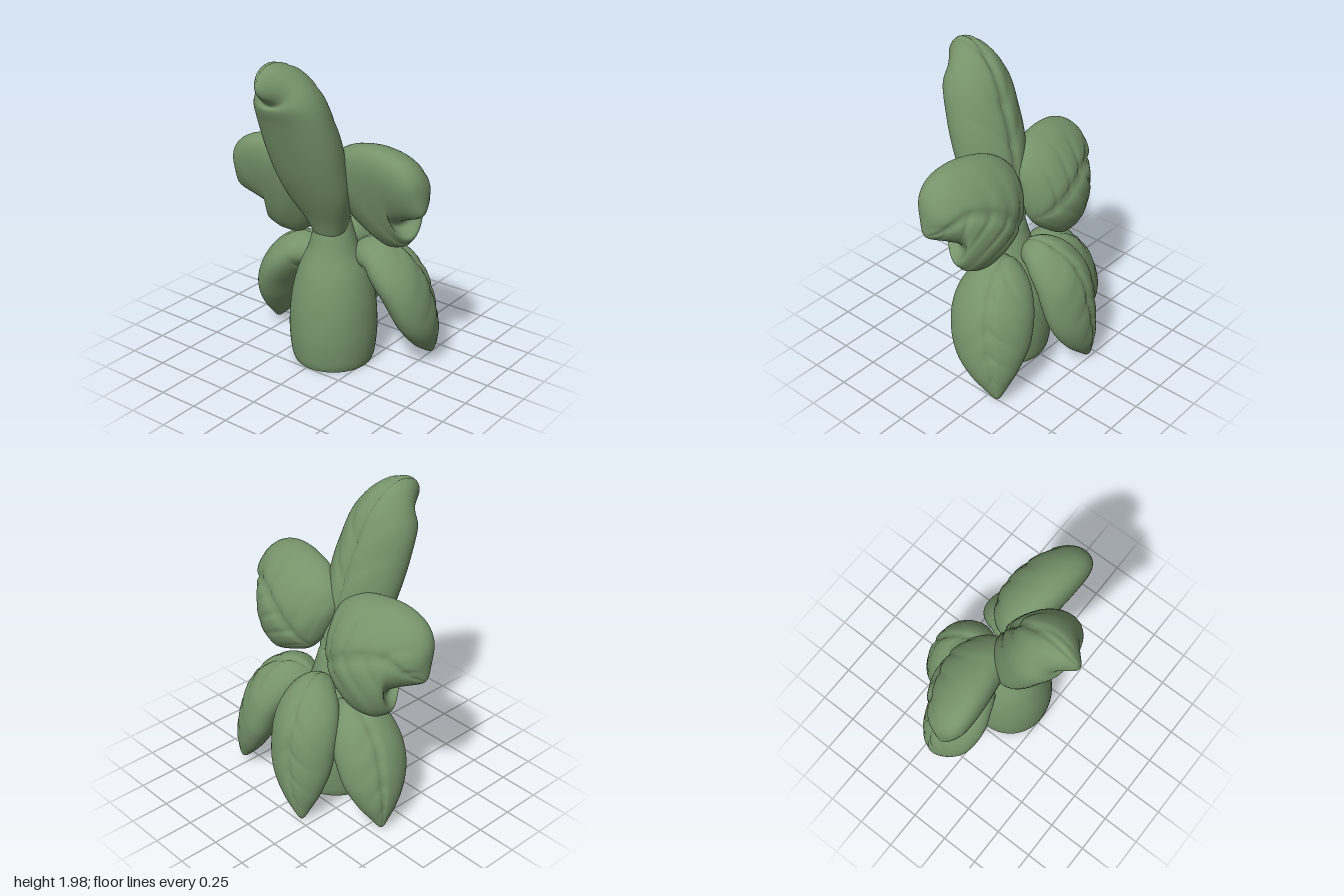
import * as THREE from 'three';

const material = new THREE.MeshStandardMaterial({ color: 0x76936a, roughness: 0.8 });
const gauss = (x, s) => Math.exp(-((x / s) ** 2));
const profile = values => {
  const curve = new THREE.SplineCurve(values.map((v, i) => new THREE.Vector2(i, v)));
  return u => curve.getPoint(u).y;
};

// Plump leaf swept along a spine; "facing" is the direction its veined side looks.
// "widths" and "girths" give the relative width and thickness from base to tip.
function leaf(name, { spine, facing, width, thickness, widths, girths }) {
  const ROWS = 64, COLS = 72, CUP = 0.14;
  const curve = new THREE.CatmullRomCurve3(spine.map(p => new THREE.Vector3(...p)));
  const widthAt = profile(widths), girthAt = profile(girths);
  const hint = new THREE.Vector3(...facing).normalize();
  const positions = [], index = [];
  for (let i = 0; i <= ROWS; i++) {
    // rows gather towards both rounded ends
    const u = (1 - Math.cos(Math.PI * i / ROWS)) / 2;
    const c = curve.getPointAt(u), t = curve.getTangentAt(u);
    const side = hint.clone().cross(t).normalize();
    const up = t.clone().cross(side);
    const round = Math.sqrt(Math.max(0, (1 - u ** 10) * (1 - (1 - u) ** 14)));
    const W = width * widthAt(u) * round;
    const T = thickness * girthAt(u) * round;
    for (let j = 0; j < COLS; j++) {
      const a = j / COLS * Math.PI * 2;
      const s = Math.cos(a), h = Math.sin(a);
      let dent = 0;
      if (h > 0) {
        // midrib groove and slanting side veins
        const phase = (u - 0.2 * Math.abs(s)) * 6;
        const d = phase - Math.round(phase);
        dent = h * (0.12 * gauss(s, 0.09) + 0.06 * gauss(d, 0.13) * (1 - s * s));
      }
      const p = c.clone()
        .addScaledVector(side, W * s)
        .addScaledVector(up, T * (h - dent) - CUP * W * s * s);
      positions.push(p.x, p.y, p.z);
      if (i < ROWS) {
        const k = (j + 1) % COLS, r = i * COLS, q = r + COLS;
        index.push(r + j, r + k, q + j, r + k, q + k, q + j);
      }
    }
  }
  const geometry = new THREE.BufferGeometry();
  geometry.setAttribute('position', new THREE.Float32BufferAttribute(positions, 3));
  geometry.setIndex(index);
  geometry.computeVertexNormals();
  const mesh = new THREE.Mesh(geometry, material);
  mesh.name = name;
  return mesh;
}

const UPPER = {
  widths: [0.5, 0.88, 1, 0.97, 0.84, 0.6, 0.25], girths: [0.55, 0.82, 1, 1, 0.92, 0.75, 0.45],
};
const LOWER = {
  widths: [0.45, 0.78, 0.97, 1, 0.9, 0.62, 0.25], girths: [0.6, 0.85, 1, 1, 0.9, 0.7, 0.4],
};

const LEAVES = {
  tallLeaf: {
    spine: [[0.03, 0.7, 0.02], [-0.045, 1.02, 0.01], [-0.13, 1.27, -0.02], [-0.215, 1.52, -0.04],
      [-0.3, 1.73, -0.06], [-0.4, 1.85, -0.08], [-0.55, 1.87, -0.1]],
    facing: [1, 0.6, 0], width: 0.245, thickness: 0.178,
    widths: [0.35, 0.55, 0.88, 1, 1, 0.88, 0.35],
    girths: [0.65, 0.7, 0.88, 1, 1, 0.97, 0.85],
  },
  upperFrontLeaf: {
    spine: [[0.1, 0.97, 0.1], [0.09, 1.07, 0.21], [0.06, 1.18, 0.36], [0.01, 1.23, 0.52],
      [-0.05, 1.14, 0.69]],
    facing: [0.94, 0.3, 0.1], width: 0.345, thickness: 0.175, ...UPPER,
  },
  upperBackLeaf: {
    spine: [[0.1, 0.94, -0.07], [0.1, 1.0, -0.18], [0.07, 1.08, -0.34], [0.01, 1.12, -0.52],
      [-0.05, 1.02, -0.69]],
    facing: [0.94, 0.3, -0.1], width: 0.365, thickness: 0.175, ...UPPER,
  },
  lowerLeftLeaf: {
    spine: [[0.08, 0.76, 0], [0.22, 0.765, -0.03], [0.35, 0.63, -0.08], [0.42, 0.38, -0.11],
      [0.48, 0.01, -0.19]],
    facing: [1, 0.9, -0.15], width: 0.22, thickness: 0.135, ...LOWER,
  },
  lowerFrontLeaf: {
    spine: [[0.08, 0.7, 0.1], [0.14, 0.71, 0.25], [0.19, 0.58, 0.385], [0.25, 0.35, 0.465],
      [0.35, 0.04, 0.53]],
    facing: [0.5, 0.9, 0.85], width: 0.25, thickness: 0.15, ...LOWER,
  },
  lowerBackLeaf: {
    spine: [[0.06, 0.62, -0.08], [0.1, 0.62, -0.27], [0.12, 0.48, -0.41], [0.15, 0.28, -0.5],
      [0.18, 0.01, -0.58]],
    facing: [0.4, 0.9, -0.9], width: 0.22, thickness: 0.14, ...LOWER,
  },
};

export function createModel() {
  const group = new THREE.Group();
  group.name = 'leafyPlant';

  // Swollen trunk narrowing to a neck
  const outline = new THREE.SplineCurve([
    [0.245, 0], [0.262, 0.06], [0.275, 0.22], [0.262, 0.42], [0.22, 0.6], [0.16, 0.74],
    [0.125, 0.86], [0.09, 0.96], [0.001, 1.0],
  ].map(p => new THREE.Vector2(...p))).getPoints(48);
  const trunk = new THREE.Mesh(new THREE.LatheGeometry(outline, 64), material);
  trunk.name = 'trunk';
  trunk.position.z = 0.02;
  group.add(trunk);

  // Flat underside
  const underside = new THREE.Mesh(new THREE.CircleGeometry(0.245, 64), material);
  underside.name = 'underside';
  underside.rotation.x = Math.PI / 2;
  underside.position.z = 0.02;
  group.add(underside);

  for (const [name, options] of Object.entries(LEAVES)) group.add(leaf(name, options));
  return group;
}
